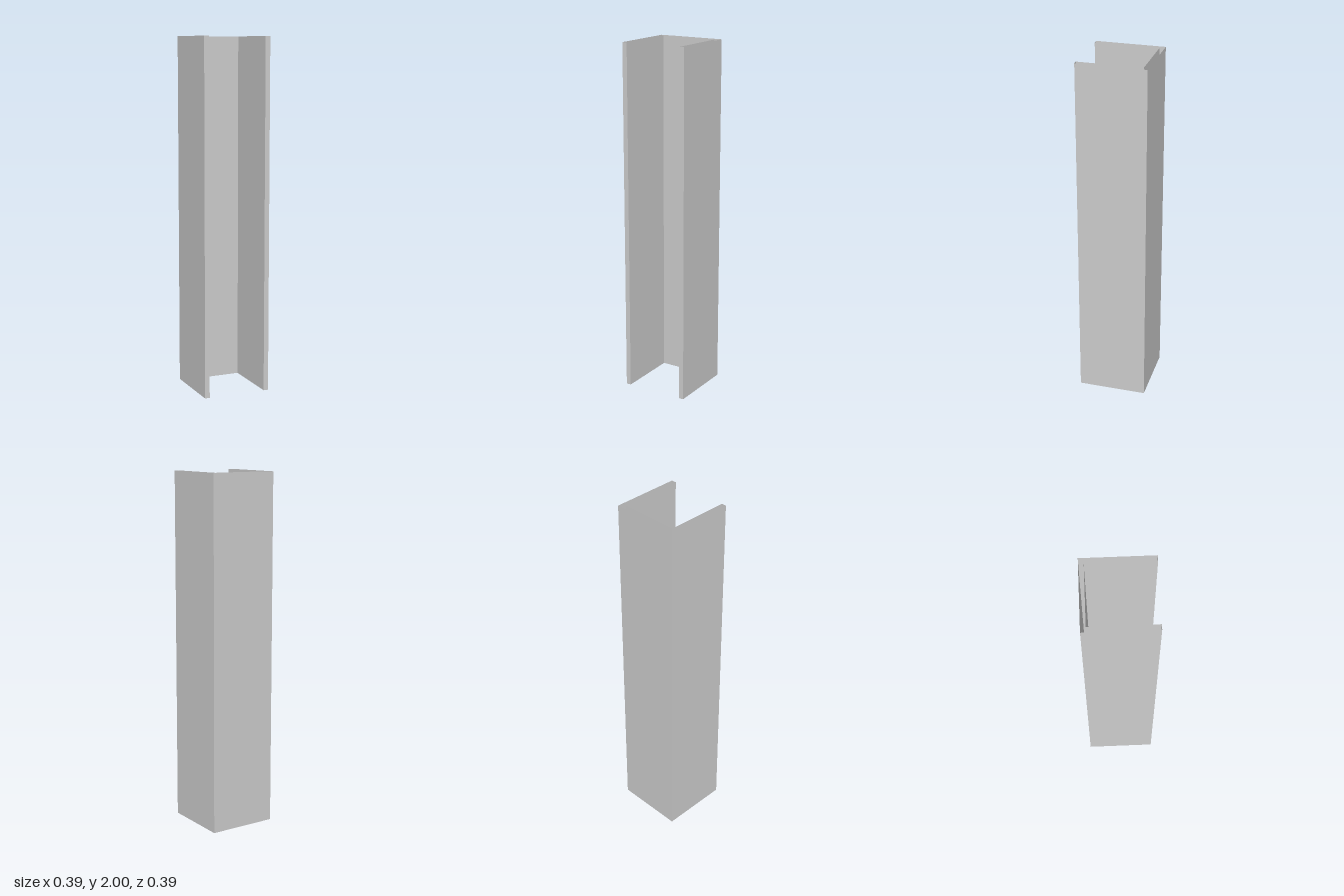
import * as THREE from 'three';
import { mergeGeometries } from 'three/addons/utils/BufferGeometryUtils.js';

const HEIGHT = 2;
const OUTER = 0.195; // half width and half depth
const INNER = 0.167; // inner faces of the walls

// U-shaped section as [x, z], open towards the front
const SECTION = [
  [-OUTER, OUTER], [-INNER, OUTER], [-INNER, -INNER], [INNER, -INNER],
  [INNER, OUTER], [OUTER, OUTER], [OUTER, -OUTER], [-OUTER, -OUTER],
];

// One upright flat face standing between two section corners
function uprightFace([x1, z1], [x2, z2]) {
  const dx = x2 - x1, dz = z2 - z1;
  return new THREE.PlaneGeometry(Math.hypot(dx, dz), HEIGHT)
    .rotateY(Math.atan2(-dz, dx))
    .translate((x1 + x2) / 2, HEIGHT / 2, (z1 + z2) / 2);
}

export function createModel() {
  const group = new THREE.Group();
  group.name = 'channelColumn';

  // Hollow walls: the ends are left open at top and bottom
  const faces = SECTION.map((p, i) => uprightFace(p, SECTION[(i + 1) % SECTION.length]));
  const material = new THREE.MeshStandardMaterial({ color: 0xcccccc, side: THREE.DoubleSide });
  const channel = new THREE.Mesh(mergeGeometries(faces), material);
  channel.name = 'channelWalls';
  group.add(channel);
  return group;
}
